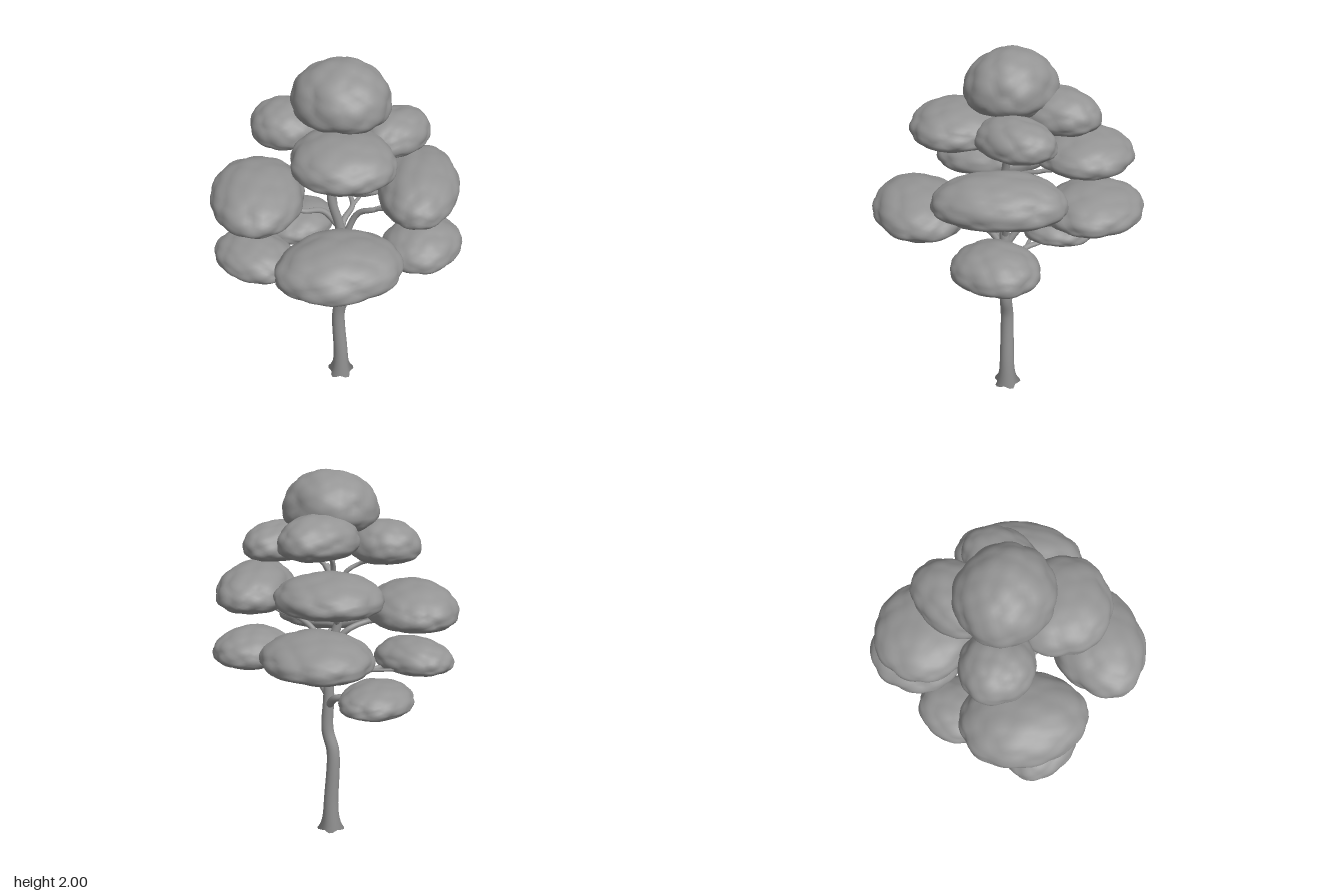
import * as THREE from 'three';
import { mergeVertices } from 'three/addons/utils/BufferGeometryUtils.js';

const V = (x, y, z) => new THREE.Vector3(x, y, z);

function seeded(seed) {
  let s = seed * 7919 + 17;
  return () => (s = (s * 16807) % 2147483647) / 2147483647;
}

// Tube along a curve whose radius follows radiusAt(t, angle)
function taperedTube(points, segments, sides, radiusAt) {
  const curve = new THREE.CatmullRomCurve3(points, false, 'centripetal');
  const geo = new THREE.TubeGeometry(curve, segments, 1, sides, false);
  const pos = geo.attributes.position;
  const p = V(0, 0, 0);
  for (let i = 0; i <= segments; i++) {
    const c = curve.getPointAt(i / segments);
    for (let j = 0; j <= sides; j++) {
      const k = i * (sides + 1) + j;
      const r = radiusAt(i / segments, (j / sides) * Math.PI * 2);
      p.fromBufferAttribute(pos, k).sub(c).multiplyScalar(r).add(c);
      pos.setXYZ(k, p.x, p.y, p.z);
    }
  }
  return geo;
}

// Lumpy leaf pad: domed top, flatter underside, scalloped by rounded bumps
function leafPad(x, z, rx, rz, bottom, top, shear, seed) {
  const rand = seeded(seed);
  const count = 70;
  const bumps = [];
  for (let i = 0; i < count; i++) {
    const y = 1 - (2 * (i + 0.5)) / count;
    const a = i * 2.39996 + rand() * 0.5;
    const r = Math.sqrt(1 - y * y);
    bumps.push(V(r * Math.cos(a), y + (rand() - 0.5) * 0.15, r * Math.sin(a)).normalize());
  }
  const phase = rand() * 6;
  let geo = new THREE.IcosahedronGeometry(1, 11);
  geo.deleteAttribute('uv');
  geo.deleteAttribute('normal');
  geo = mergeVertices(geo, 1e-4);
  const pos = geo.attributes.position;
  const d = V(0, 0, 0);
  const mid = bottom + (top - bottom) * 0.38;
  for (let i = 0; i < pos.count; i++) {
    d.fromBufferAttribute(pos, i).normalize();
    let near = 4;
    for (const b of bumps) near = Math.min(near, d.distanceToSquared(b));
    const wave = 0.025 * Math.sin(3 * d.x + phase) * Math.cos(4 * d.z + 2 * phase);
    const r = 1.01 + wave - Math.min(near, 0.14) * 0.5;
    const h = d.y > 0 ? (top - mid) * d.y : -(mid - bottom) * Math.pow(-d.y, 0.8);
    pos.setXYZ(i, x + r * (rx * d.x + shear * rz * d.z), mid + r * h, z + r * rz * d.z);
  }
  geo.computeVertexNormals();
  return geo;
}

export function createModel() {
  const tree = new THREE.Group();
  const grey = new THREE.MeshStandardMaterial({ color: 0x949494, side: THREE.DoubleSide });
  grey.name = 'plain grey';
  const add = (name, geo) => {
    const mesh = new THREE.Mesh(geo, grey);
    mesh.name = name;
    tree.add(mesh);
  };

  // Trunk with a ridged root flare
  const trunk = [
    V(0, 0, 0), V(0, 0.15, 0), V(-0.01, 0.47, 0.005), V(0.02, 0.6, -0.005),
    V(0.015, 0.8, 0), V(0.02, 0.95, 0), V(0, 1.1, 0.015), V(-0.03, 1.27, 0.04),
    V(-0.025, 1.38, 0.02), V(0, 1.47, 0), V(0.04, 1.51, 0.01),
  ];
  add('trunk', taperedTube(trunk, 90, 24, (t, a) => {
    const flare = Math.exp(-t * 38);
    return 0.043 - 0.025 * t + flare * (0.026 + 0.012 * Math.cos(5 * a));
  }));

  // Point on the trunk axis at a given height
  const trunkAt = (y) => {
    const i = trunk.findIndex((p) => p.y >= y);
    const a = trunk[i - 1], b = trunk[i];
    return a.clone().lerp(b, (y - a.y) / (b.y - a.y));
  };

  // Leaf pads: height the branch starts at, then x, z, rx, rz, bottom, top, shear
  const pads = [
    [1.44, -0.01, -0.02, 0.245, 0.23, 1.68, 2.0, 0],
    [1.43, -0.1, -0.22, 0.175, 0.235, 1.6, 1.82, 0],
    [1.36, -0.26, 0.1, 0.185, 0.175, 1.55, 1.77, 0],
    [1.42, 0.15, 0.18, 0.255, 0.245, 1.54, 1.75, 0],
    [1.46, 0.2, -0.17, 0.155, 0.21, 1.55, 1.75, 0],
    [1.2, -0.24, -0.32, 0.265, 0.25, 1.37, 1.57, 0],
    [1.08, -0.32, 0.28, 0.265, 0.285, 1.19, 1.43, 0.25],
    [0.98, 0.35, -0.18, 0.22, 0.3, 1.28, 1.52, 0.3],
    [0.9, 0.27, 0.365, 0.26, 0.285, 1.07, 1.31, -0.25],
    [0.93, -0.22, -0.39, 0.285, 0.255, 1.08, 1.29, 0],
    [0.8, 0.39, -0.18, 0.2, 0.23, 0.95, 1.16, 0],
    [0.88, -0.28, 0.37, 0.23, 0.18, 0.9, 1.09, 0],
    [0.74, -0.365, -0.1, 0.18, 0.215, 0.83, 0.99, 0],
  ];
  pads.forEach(([startY, ...pad], i) => {
    const [x, z, , , bottom, top] = pad;
    add('leafPad' + (i + 1), leafPad(...pad, i + 1));

    // Branch rising steeply from the trunk, then levelling out into its pad
    const start = trunkAt(startY);
    const end = V(x, bottom + (top - bottom) * 0.35, z);
    const reach = end.clone().sub(start);
    const side = V(-reach.z, 0, reach.x).multiplyScalar(i % 2 ? 1 : -1);
    const along = (out, up, sway) =>
      start.clone().add(V(reach.x * out, reach.y * up, reach.z * out)).addScaledVector(side, sway);
    const radius = 0.022 - 0.012 * (startY - 0.8);
    const fork = along(0.45, 0.64, 0.06);
    const path = [start, along(0.2, 0.48, -0.03), fork, along(0.68, 0.73, 0), end];
    add('branch' + (i + 1), taperedTube(path, 28, 10, (t) => radius * (1 - 0.6 * t)));

    // Twig forking off into the same pad
    const twig = [fork, along(0.7, 0.78, 0.18), along(1, 1, 0.25)];
    add('twig' + (i + 1), taperedTube(twig, 14, 8, (t) => radius * (0.55 - 0.3 * t)));
  });

  return tree;
}
